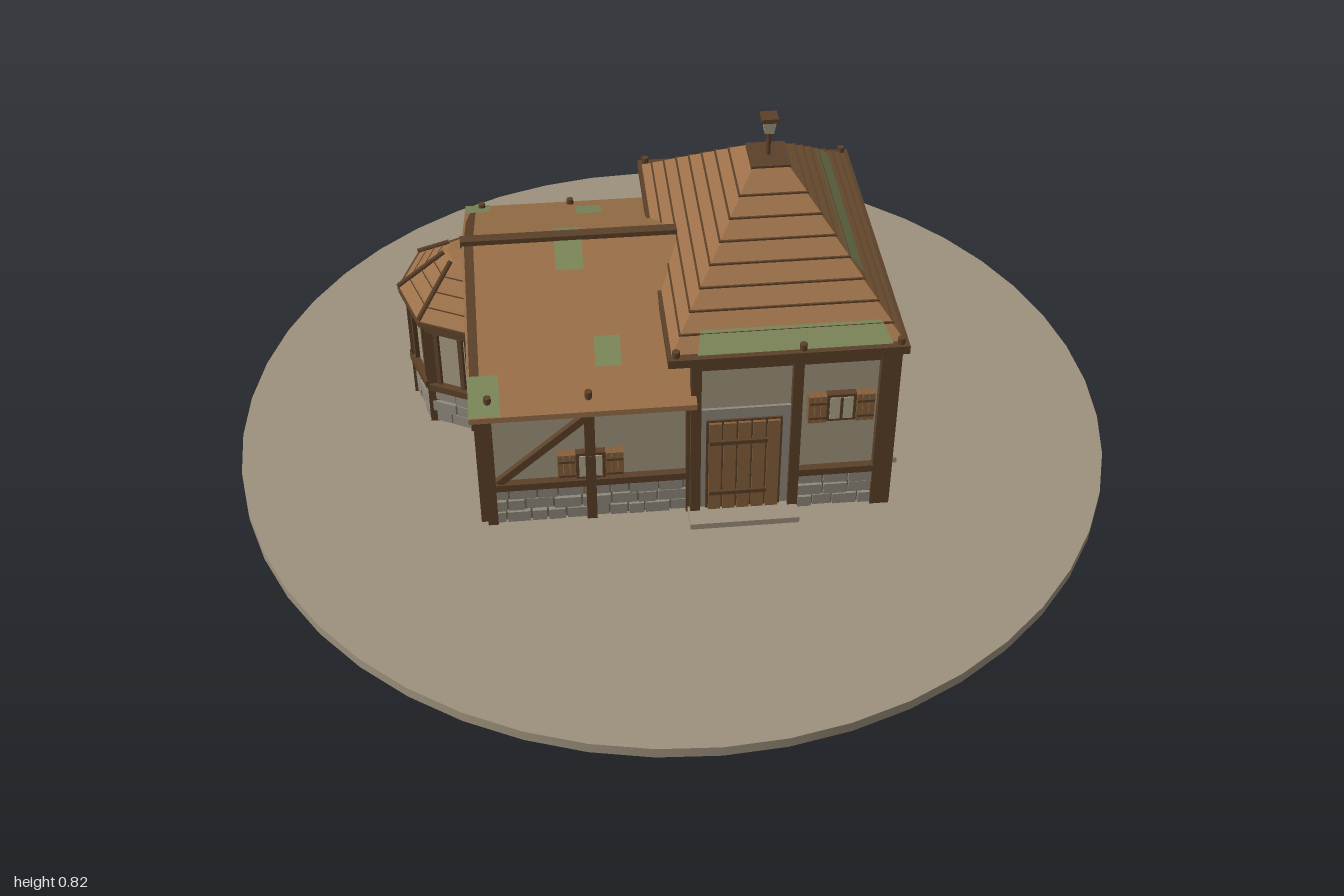
import * as THREE from 'three';

const mat = (name, color, extra = {}) => Object.assign(new THREE.MeshStandardMaterial({ color, ...extra }), { name });
const M = {
  ground: mat('ground tan', 0x9e927d),
  roof: mat('shingle brown', 0x9b7049),
  moss: mat('moss green', 0x7d8759, { side: THREE.DoubleSide }),
  timber: mat('dark timber', 0x5c4129),
  plaster: mat('plaster beige', 0xa3987f),
  stone: mat('stone grey', 0x918a7c),
  mortar: mat('mortar grey', 0x6e6658),
  plank: mat('plank brown', 0x87603c),
  pane: mat('window pane', 0xb3a88e),
};

function add(parent, name, geo, material, x = 0, y = 0, z = 0) {
  const m = new THREE.Mesh(geo, material);
  m.name = name;
  m.position.set(x, y, z);
  parent.add(m);
  return m;
}

function box(parent, name, material, x0, x1, y0, y1, z0, z1) {
  return add(parent, name, new THREE.BoxGeometry(x1 - x0, y1 - y0, z1 - z0), material,
    (x0 + x1) / 2, (y0 + y1) / 2, (z0 + z1) / 2);
}

// Four-cornered patch lying on a slope
function patch(parent, name, corners) {
  const g = new THREE.BufferGeometry().setFromPoints(corners.map(c => new THREE.Vector3(...c)));
  g.setIndex([0, 1, 2, 0, 2, 3]);
  g.computeVertexNormals();
  return add(parent, name, g, M.moss);
}

// A wall's own frame: x along the wall, y up, z outwards
function wallFrame(parent, name, x, z, angle) {
  const g = new THREE.Group();
  g.name = name;
  g.position.set(x, 0, z);
  g.rotation.y = angle;
  parent.add(g);
  return g;
}

function beam(wall, name, x0, y0, x1, y1, w = 0.02, out = 0.014) {
  const m = add(wall, name, new THREE.BoxGeometry(Math.hypot(x1 - x0, y1 - y0), w, out + 0.01), M.timber,
    (x0 + x1) / 2, (y0 + y1) / 2, (out - 0.01) / 2);
  m.rotation.z = Math.atan2(y1 - y0, x1 - x0);
}

// Three courses of uneven stones over a mortar backing
let seed = 7;
const rand = () => (seed = (seed * 16807) % 2147483647) / 2147483647;
function stones(wall, x0, x1) {
  box(wall, 'stoneBacking', M.mortar, x0, x1, 0.025, 0.122, -0.01, 0.004);
  for (let row = 0; row < 3; row++) {
    for (let x = x0; x < x1 - 0.005;) {
      let e = x + 0.035 + rand() * 0.03;
      if (e > x1 - 0.02) e = x1;
      const y = 0.027 + row * 0.032;
      box(wall, 'stone', M.stone, x + 0.002, e - 0.002, y, y + 0.028, 0, 0.008 + rand() * 0.006);
      x = e;
    }
  }
  beam(wall, 'sillBeam', x0, 0.13, x1, 0.13, 0.018, 0.017);
}

function shutterWindow(wall, x, y) {
  box(wall, 'windowFrame', M.timber, x - 0.032, x + 0.032, y - 0.036, y + 0.036, 0, 0.016);
  box(wall, 'windowPane', M.pane, x - 0.025, x + 0.025, y - 0.029, y + 0.029, 0.012, 0.018);
  box(wall, 'windowBar', M.timber, x - 0.003, x + 0.003, y - 0.03, y + 0.03, 0.014, 0.021);
  for (const s of [-1, 1]) {
    for (let i = 0; i < 3; i++) {
      const c = x + s * (0.038 + i * 0.0135);
      box(wall, 'shutterPlank', M.plank, c - 0.006, c + 0.006, y - 0.036, y + 0.036, 0, 0.02);
    }
    for (const dy of [-0.02, 0.02])
      box(wall, 'shutterBatten', M.timber, x + s * 0.0515 - 0.018, x + s * 0.0515 + 0.018, y + dy - 0.003, y + dy + 0.003, 0.018, 0.024);
  }
}

function door(wall, x) {
  box(wall, 'doorSurround', M.stone, x - 0.105, x + 0.105, 0.03, 0.32, -0.01, 0.006);
  box(wall, 'doorBacking', M.timber, x - 0.082, x + 0.082, 0.03, 0.292, 0, 0.01);
  for (let i = 0; i < 5; i++) {
    const c = x + (i - 2) * 0.0315;
    box(wall, 'doorPlank', M.plank, c - 0.0135, c + 0.0135, 0.035, 0.287, 0, 0.016);
  }
  for (const y of [0.09, 0.235]) box(wall, 'doorHinge', M.timber, x - 0.075, x + 0.05, y - 0.005, y + 0.005, 0.014, 0.02);
  box(wall, 'doorStep', M.ground, x - 0.12, x + 0.12, 0.025, 0.04, 0, 0.06);
}

// Box whose top is narrowed to its own half sizes
function frustum(hx0, hz0, hx1, hz1, h) {
  const g = new THREE.BoxGeometry(2, h, 2), p = g.attributes.position;
  for (let i = 0; i < p.count; i++) {
    const top = p.getY(i) > 0;
    p.setX(i, p.getX(i) * (top ? hx1 : hx0));
    p.setZ(i, p.getZ(i) * (top ? hz1 : hz0));
  }
  g.computeVertexNormals();
  return g;
}

// Cross-section in (z, y) run along x
function alongX(points, x0, x1) {
  const g = new THREE.ExtrudeGeometry(new THREE.Shape(points.map(p => new THREE.Vector2(...p))), { depth: x1 - x0, bevelEnabled: false });
  return g.rotateY(Math.PI / 2).translate(x0, 0, 0);
}

function buildTower(root) {
  const t = new THREE.Group();
  t.name = 'tower';
  root.add(t);
  box(t, 'towerWalls', M.plaster, 0.01, 0.43, 0.025, 0.465, -0.35, 0.35);

  const front = wallFrame(t, 'towerFront', 0.22, 0.35, 0);
  stones(front, 0.02, 0.215);
  door(front, -0.1);
  shutterWindow(front, 0.105, 0.312);
  const right = wallFrame(t, 'towerRight', 0.43, 0, Math.PI / 2);
  stones(right, 0, 0.355);
  door(right, -0.122);
  for (const s of [-1, 1]) beam(right, 'brace', 0.16, 0.42, 0.16 + s * 0.145, 0.14, 0.017);
  beam(right, 'stud', 0.16, 0.14, 0.16, 0.45, 0.015, 0.01);
  const back = wallFrame(t, 'towerBack', 0.22, -0.35, Math.PI);
  stones(back, -0.215, 0.215);
  shutterWindow(back, 0, 0.29);
  for (const [wall, posts] of [[front, [-0.205, 0.01, 0.195, 0.215]], [right, [-0.352, 0.01, 0.352]], [back, [-0.215, 0.205]]]) {
    for (const x of posts) beam(wall, 'post', x, 0.025, x, 0.46, 0.022, 0.018);
    beam(wall, 'topBeam', posts[0], 0.445, posts[posts.length - 1], 0.445);
  }

  // Stepped hip roof
  const cx = 0.207, n = 8, hx = k => 0.24 - 0.2 * k, hz = k => 0.357 - 0.31 * k, y0 = 0.475, H = 0.24;
  add(t, 'eaveFrame', new THREE.BoxGeometry(0.504, 0.02, 0.756), M.timber, cx, 0.468, 0);
  const layers = [];
  for (let i = 0; i < n; i++) {
    const a = i / n, b = (i + 1) / n, h = H / n + 0.006;
    const L = { x0: hx(a) + 0.008, z0: hz(a) + 0.008, x1: hx(b), z1: hz(b), yb: y0 + H * a - 0.002, yt: y0 + H * a - 0.002 + h };
    layers.push(L);
    add(t, 'roofCourse', frustum(L.x0, L.z0, L.x1, L.z1, h), M.roof, cx, (L.yb + L.yt) / 2, 0);
    add(t, 'courseShadowBoard', new THREE.BoxGeometry(2 * L.x0 + 0.004, 0.004, 2 * L.z0 + 0.004), M.timber, cx, L.yb, 0);
  }
  const e = 0.003;
  let L = layers[0];
  patch(t, 'frontMoss', [[cx - 0.19, L.yb + e, L.z0 + e], [cx + 0.22, L.yb + e, L.z0 + e], [cx + 0.2, L.yt, L.z1 + e], [cx - 0.18, L.yt, L.z1 + e]]);
  L = layers[3];
  patch(t, 'rightMoss', [[cx + L.x0 + e, L.yb + e, 0.23], [cx + L.x0 + e, L.yb + e, -0.23], [cx + L.x1 + e, L.yt, -0.2], [cx + L.x1 + e, L.yt, 0.2]]);
  L = layers[5];
  patch(t, 'backMoss', [[cx + 0.09, L.yb + e, -L.z0 - e], [cx - 0.09, L.yb + e, -L.z0 - e], [cx - 0.07, L.yt, -L.z1 - e], [cx + 0.07, L.yt, -L.z1 - e]]);
  for (const sz of [-1, 1]) for (const dx of [-0.235, 0.03, 0.235])
    add(t, 'eavePeg', new THREE.CylinderGeometry(0.008, 0.008, 0.03, 8), M.timber, cx + dx, 0.478, sz * 0.365);

  // Roof cap and lantern
  add(t, 'roofCap', new THREE.BoxGeometry(0.085, 0.014, 0.095), M.timber, cx, 0.717, 0);
  add(t, 'lanternPole', new THREE.CylinderGeometry(0.005, 0.005, 0.07, 8), M.timber, cx, 0.755, 0);
  add(t, 'lantern', frustum(0.01, 0.01, 0.014, 0.014, 0.03), M.pane, cx, 0.795, 0);
  add(t, 'lanternCap', new THREE.BoxGeometry(0.036, 0.01, 0.036), M.timber, cx, 0.815, 0);
}

function buildWing(root) {
  const w = new THREE.Group();
  w.name = 'wing';
  root.add(w);
  const slope = z => 0.54 - 0.455 * Math.abs(z);
  const chevron = (z, th) => [[-z, slope(z) - th], [0, slope(0) - th], [z, slope(z) - th], [z, slope(z)], [0, slope(0)], [-z, slope(z)]];
  add(w, 'wingWalls', alongX([[-0.335, 0.025], [0.335, 0.025], [0.335, 0.375], [0, 0.527], [-0.335, 0.375]], -0.435, 0.02), M.plaster);
  add(w, 'wingRoof', alongX(chevron(0.387, 0.014), -0.46, 0.015), M.roof);
  add(w, 'bargeBoards', alongX(chevron(0.384, 0.034), -0.455, -0.435), M.timber);
  box(w, 'ridgeBeam', M.timber, -0.463, 0.01, 0.53, 0.546, -0.012, 0.012);

  for (const [name, s] of [['wingFront', 1], ['wingBack', -1]]) {
    const wall = wallFrame(w, name, -0.21, s * 0.335, s > 0 ? 0 : Math.PI);
    stones(wall, -0.222, 0.222);
    for (const x of [-0.217, 0, 0.217]) beam(wall, 'post', x, 0.025, x, 0.37, 0.022, 0.018);
    beam(wall, 'topBeam', -0.225, 0.355, 0.225, 0.355);
    beam(wall, 'brace', -0.2, 0.14, -0.005, 0.315, 0.017);
    shutterWindow(wall, 0, 0.18);
    box(w, 'eaveBoard', M.timber, -0.455, -0.04, 0.35, 0.364, s * 0.372 - 0.006, s * 0.372 + 0.006);
    for (const x of [-0.42, -0.21])
      add(w, 'roofPeg', new THREE.CylinderGeometry(0.008, 0.008, 0.03, 8), M.timber, x, slope(0.355), s * 0.355);
  }

  const gable = wallFrame(w, 'wingGable', -0.435, 0, -Math.PI / 2);
  stones(gable, -0.335, 0.335);
  beam(gable, 'tieBeam', -0.335, 0.36, 0.335, 0.36);
  for (const z of [-0.33, 0.09, 0.33]) beam(gable, 'post', z, 0.025, z, 0.37, 0.022, 0.018);
  beam(gable, 'kingPost', 0, 0.36, 0, 0.51);
  for (const s of [-1, 1]) beam(gable, 'gableStud', s * 0.15, 0.36, s * 0.15, 0.45);
  beam(gable, 'brace', 0.1, 0.14, 0.31, 0.35, 0.017);

  // Moss on the slopes: x0, x1, z0, z1
  for (const [a, b, c, d] of [[-0.46, -0.4, -0.387, -0.3], [-0.2, -0.14, -0.31, -0.22], [-0.26, -0.2, -0.07, -0.014],
    [-0.26, -0.2, 0.014, 0.08], [-0.19, -0.135, 0.23, 0.295], [-0.46, -0.395, 0.3, 0.387]]) {
    const y = z => slope(z) + 0.003;
    patch(w, 'wingMoss', [[a, y(d), d], [b, y(d), d], [b, y(c), c], [a, y(c), c]]);
  }
}

// Eight-sided bay against the gable
function buildBay(root) {
  const bay = new THREE.Group();
  bay.name = 'bay';
  bay.position.set(-0.46, 0, -0.13);
  root.add(bay);
  const rx = 0.132, rz = 0.158;
  const ring = (name, m, r0, r1, ya, yb) => {
    const g = new THREE.CylinderGeometry(r1, r0, yb - ya, 8).toNonIndexed().scale(rx, 1, rz);
    g.computeVertexNormals();
    add(bay, name, g, m, 0, (ya + yb) / 2, 0);
  };
  ring('bayWalls', M.plaster, 1, 1, 0.025, 0.325);
  ring('bayEave', M.timber, 1.2, 1.2, 0.314, 0.328);
  for (let i = 0; i < 4; i++) {
    const r = 1.2 - i * 0.22, y = 0.327 + i * 0.023;
    ring('bayRoofCourse', M.roof, r, r - 0.24, y, y + 0.027);
    ring('courseShadowBoard', M.timber, r + 0.015, r + 0.015, y - 0.002, y + 0.002);
  }
  const corner = k => [-rx * Math.sin(k * Math.PI / 4), rz * Math.cos(k * Math.PI / 4)];
  for (let k = 0; k < 5; k++) {
    const [x, z] = corner(k);
    box(bay, 'bayPost', M.timber, x - 0.012, x + 0.012, 0.025, 0.32, z - 0.012, z + 0.012);
    // Hip rib
    const hip = new THREE.LineCurve3(new THREE.Vector3(x * 1.2, 0.333, z * 1.2), new THREE.Vector3(x * 0.35, 0.422, z * 0.35));
    add(bay, 'bayHipRib', new THREE.TubeGeometry(hip, 1, 0.006, 5), M.timber);
    if (k === 4) continue;
    const [x2, z2] = corner(k + 1), half = Math.hypot(x2 - x, z2 - z) / 2;
    const face = wallFrame(bay, 'bayFace', (x + x2) / 2, (z + z2) / 2, Math.atan2(z2 - z, -(x2 - x)) + Math.PI / 2);
    face.rotation.y = Math.atan2(-(z - z2), x - x2);
    stones(face, -half, half);
    beam(face, 'bayTopBeam', -half, 0.3, half, 0.3);
    for (const s of [-1, 1]) beam(face, 'bayWindowJamb', s * (half - 0.022), 0.14, s * (half - 0.022), 0.3, 0.01, 0.01);
  }
}

export function createModel() {
  const root = new THREE.Group();
  root.name = 'cottage';
  add(root, 'groundDisc', new THREE.CylinderGeometry(1, 1, 0.025, 48), M.ground, 0, 0.0125, 0);
  buildTower(root);
  buildWing(root);
  buildBay(root);
  return root;
}
